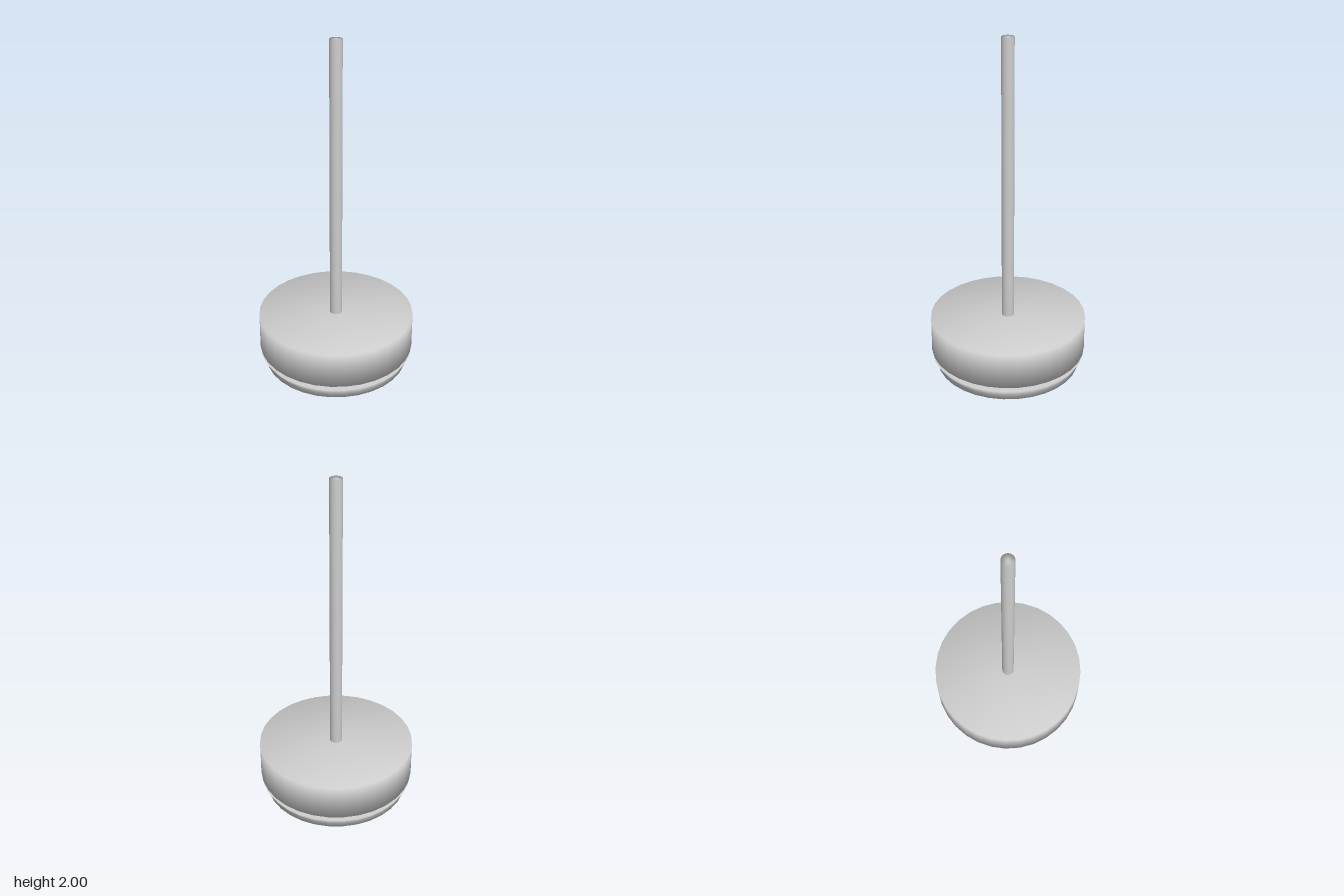
import * as THREE from 'three';

const SIDES = 32;

export function createModel() {
  const group = new THREE.Group();
  const material = new THREE.MeshStandardMaterial({ color: 0xcccccc });

  // Turned solid from a [radius, height] profile, listed bottom to top
  function turned(name, profile) {
    const points = profile.map(([r, y]) => new THREE.Vector2(r, y));
    const mesh = new THREE.Mesh(new THREE.LatheGeometry(points, SIDES), material);
    mesh.name = name;
    group.add(mesh);
  }

  // Foot plate: short straight edge that flares to a wider rim
  turned('footPlate', [[0, 0], [0.423, 0], [0.423, 0.027], [0.452, 0.07], [0, 0.07]]);

  // Narrow neck that leaves a gap between plate and body
  turned('neck', [[0, 0.06], [0.227, 0.06], [0.227, 0.11], [0, 0.11]]);

  // Heavy drum body
  turned('drumBody', [[0, 0.1], [0.457, 0.1], [0.457, 0.315], [0, 0.315]]);

  // Tall central rod
  turned('rod', [[0, 0.3], [0.036, 0.3], [0.036, 2], [0, 2]]);

  return group;
}
